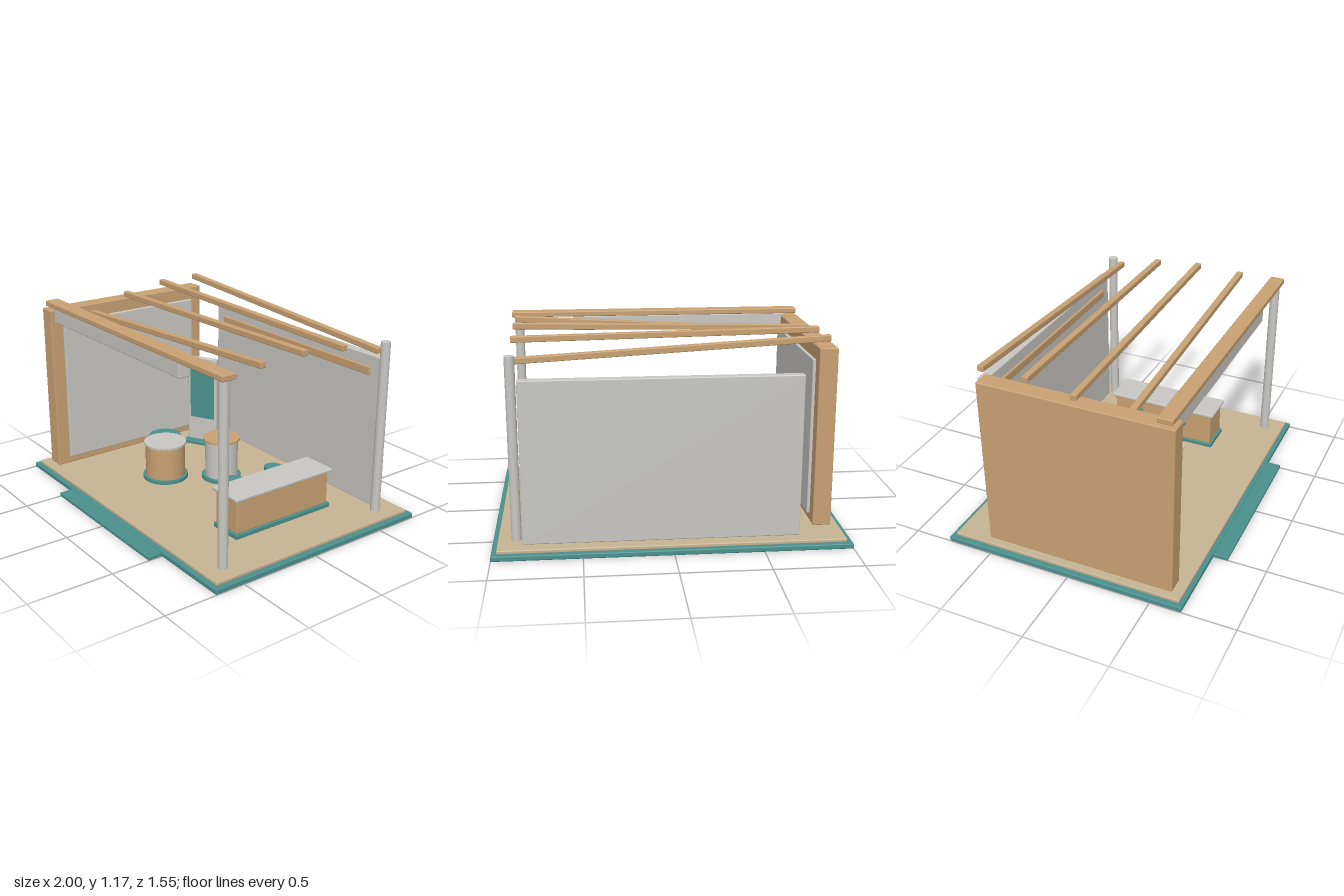
import * as THREE from 'three';
import { RoundedBoxGeometry } from 'three/addons/geometries/RoundedBoxGeometry.js';

const paint = (name, color) => {
  const m = new THREE.MeshStandardMaterial({ color });
  m.name = name;
  return m;
};

export function createModel() {
  const root = new THREE.Group();
  root.name = 'exhibitionBooth';
  const teal = paint('teal', 0x4b918d);
  const wood = paint('wood', 0xc9a273);
  const floorTan = paint('floorTan', 0xc8b494);
  const grey = paint('lightGrey', 0xc9c8c4);

  const add = (name, geo, mat, x, y, z, parent = root) => {
    const mesh = new THREE.Mesh(geo, mat);
    mesh.name = name;
    mesh.position.set(x, y, z);
    parent.add(mesh);
    return mesh;
  };
  // Softly bevelled box given by its extents on each axis
  const box = (name, mat, [x0, x1], [y0, y1], [z0, z1], parent = root) => {
    const w = x1 - x0, h = y1 - y0, d = z1 - z0;
    const r = Math.min(0.006, Math.min(w, h, d) * 0.3);
    return add(name, new RoundedBoxGeometry(w, h, d, 2, r), mat,
      (x0 + x1) / 2, (y0 + y1) / 2, (z0 + z1) / 2, parent);
  };
  const disc = (name, mat, r, y0, y1, x, z, parent = root, sides = 32) =>
    add(name, new THREE.CylinderGeometry(r, r, y1 - y0, sides), mat, x, (y0 + y1) / 2, z, parent);
  const group = (name, x, z) => {
    const g = new THREE.Group();
    g.name = name;
    g.position.set(x, 0, z);
    root.add(g);
    return g;
  };

  // Platform
  box('platform', teal, [-1, 1], [0, 0.03], [-0.775, 0.685]);
  box('frontStep', teal, [-0.505, 0.5], [0, 0.024], [0.68, 0.77]);
  box('floor', floorTan, [-0.97, 0.97], [0.028, 0.05], [-0.745, 0.66]);

  // Walls
  box('sideWall', wood, [-0.925, -0.82], [0.05, 1.09], [-0.54, 0.6]);
  box('sideWallPanel', grey, [-0.825, -0.803], [0.095, 1.01], [-0.46, 0.52]);
  box('backWall', grey, [-0.715, 0.83], [0.05, 0.975], [-0.672, -0.617]);
  box('backWallRail', wood, [-0.63, 0.74], [0.855, 0.905], [-0.62, -0.603]);

  // Posts, front beam and its fascia
  disc('frontPost', grey, 0.028, 0.05, 1.105, 0.866, 0.54, root, 24);
  disc('backPost', grey, 0.028, 0.05, 1.092, 0.866, -0.592, root, 24);
  box('frontBeam', wood, [-0.915, 0.91], [1.104, 1.137], [0.495, 0.583]);
  box('frontFascia', grey, [-0.84, 0.525], [1.014, 1.105], [0.503, 0.573]);

  // Roof slats twisting from one side to the other: z, left height, right height
  const slats = [[0.3, 1.03, 1.131], [0.016, 1.105, 1.14], [-0.265, 1.145, 1.116], [-0.532, 1.148, 1.052]];
  for (const [z, left, right] of slats) {
    const run = 1.755, rise = right - left;
    const slat = add('roofSlat', new RoundedBoxGeometry(Math.hypot(run, rise), 0.035, 0.038, 2, 0.005),
      wood, 0, (left + right) / 2, z);
    slat.rotation.z = Math.atan2(rise, run);
  }

  // Counter
  box('counterPlinth', teal, [0.462, 0.674], [0.05, 0.08], [-0.405, 0.3]);
  box('counterBody', wood, [0.468, 0.662], [0.078, 0.282], [-0.39, 0.287]);
  box('counterTop', grey, [0.457, 0.68], [0.281, 0.301], [-0.412, 0.305]);

  // Round display plinths: x, z, base radius, body radius, top radius, height, body, top
  const plinths = [
    [-0.485, -0.01, 0.1, 0.09, 0.104, 0.23, grey, teal],
    [-0.275, 0.13, 0.142, 0.125, 0.133, 0.292, wood, grey],
    [-0.055, -0.15, 0.124, 0.103, 0.117, 0.322, grey, wood],
  ];
  for (const [x, z, rBase, rBody, rTop, h, bodyMat, topMat] of plinths) {
    const g = group('displayPlinth', x, z);
    disc('plinthBase', teal, rBase, 0.05, 0.072, 0, 0, g);
    disc('plinthBody', bodyMat, rBody, 0.07, h - 0.01, 0, 0, g);
    disc('plinthTop', topMat, rTop, h - 0.013, h, 0, 0, g);
  }

  // Bar stools
  for (const z of [-0.21, 0.09]) {
    const g = group('stool', 0.38, z);
    disc('stoolFoot', grey, 0.053, 0.05, 0.063, 0, 0, g);
    disc('stoolStem', grey, 0.011, 0.06, 0.24, 0, 0, g, 16);
    disc('stoolSeat', teal, 0.055, 0.238, 0.26, 0, 0, g);
    add('stoolFootRing', new THREE.TorusGeometry(0.036, 0.004, 8, 32), grey, 0, 0.117, 0, g).rotation.x = Math.PI / 2;
  }

  // Angled information stand
  const stand = group('infoStand', -0.575, -0.39);
  stand.rotation.y = 0.5;
  box('standBase', teal, [-0.122, 0.122], [0.05, 0.076], [-0.058, 0.058], stand);
  box('standPanel', grey, [-0.105, 0.105], [0.074, 0.665], [-0.017, 0.017], stand);
  box('standScreen', teal, [-0.087, 0.087], [0.238, 0.585], [0.014, 0.022], stand);

  return root;
}
